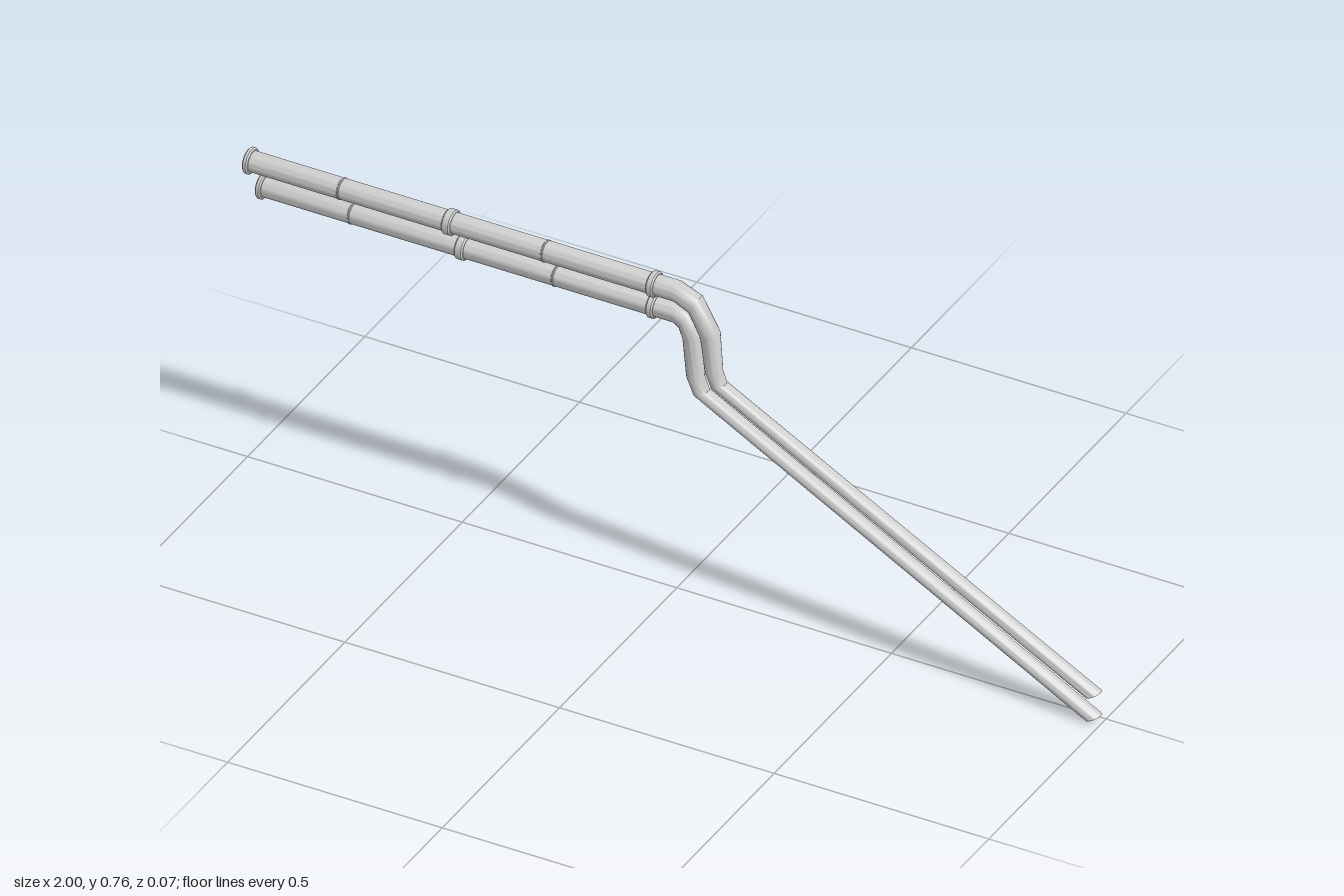
import * as THREE from 'three';
import { toCreasedNormals } from 'three/addons/utils/BufferGeometryUtils.js';

const SIDES = 24;
const material = new THREE.MeshStandardMaterial({ color: 0xcccccc, side: THREE.DoubleSide });

// Sweep of tilted rings [x, y, z, radius, tilt in degrees]; open at the start, capped at the end
function sweep(rings) {
  const pos = [], index = [];
  for (const [x, y, z, r, tilt] of rings) {
    const a = THREE.MathUtils.degToRad(tilt);
    for (let j = 0; j < SIDES; j++) {
      const t = (j / SIDES) * Math.PI * 2, u = r * Math.cos(t);
      pos.push(x + u * Math.cos(a), y + u * Math.sin(a), z + r * Math.sin(t));
    }
  }
  for (let i = 0; i < rings.length - 1; i++) {
    for (let j = 0; j < SIDES; j++) {
      const a = i * SIDES + j, b = i * SIDES + (j + 1) % SIDES;
      index.push(a, b, a + SIDES, b, b + SIDES, a + SIDES);
    }
  }
  const last = (rings.length - 1) * SIDES, centre = rings.length * SIDES;
  pos.push(...rings[rings.length - 1].slice(0, 3));
  for (let j = 0; j < SIDES; j++) index.push(centre, last + j, last + (j + 1) % SIDES);
  const g = new THREE.BufferGeometry();
  g.setAttribute('position', new THREE.Float32BufferAttribute(pos, 3));
  g.setIndex(index);
  return toCreasedNormals(g, 0.65);
}

// Bevelled collar around a pipe running along x
function collar(name, x, y, width, radius, inner = 0.0215) {
  const h = width / 2, b = Math.min(0.003, width / 4);
  const profile = [[inner, -h], [radius - b, -h], [radius, -h + b], [radius, h - b], [radius - b, h], [inner, h], [inner, -h]]
    .map(([r, l]) => new THREE.Vector2(r, l));
  const g = toCreasedNormals(new THREE.LatheGeometry(profile, SIDES), 0.5);
  g.rotateZ(-Math.PI / 2);
  const mesh = new THREE.Mesh(g, material);
  mesh.name = name;
  mesh.position.set(x, y, -0.002);
  return mesh;
}

function pipe(name, { start, y, elbow, joint, seams }) {
  const group = new THREE.Group();
  group.name = name;
  const body = new THREE.Mesh(sweep([
    [start + 0.002, y, -0.002, 0.023, 90],
    [0, y, -0.002, 0.023, 90],
    ...elbow,
  ]), material);
  body.name = name + 'Body';
  group.add(body);
  group.add(collar('endFlange', start + 0.006, y, 0.012, 0.029));
  group.add(collar('middleCoupling', joint, y, 0.02, 0.028));
  group.add(collar('elbowCoupling', -0.053, y, 0.016, 0.028));
  for (const x of seams) group.add(collar('seamRing', x, y, 0.005, 0.0242));
  return group;
}

export function createModel() {
  const model = new THREE.Group();
  model.name = 'twinPipes';
  model.add(pipe('upperPipe', {
    start: -1, y: 0.731, joint: -0.527, seams: [-0.78, -0.305],
    elbow: [
      [0.043, 0.712, -0.002, 0.023, 62],
      [0.077, 0.648, -0.002, 0.022, 20],
      [0.085, 0.56, -0.003, 0.019, 6],
      [0.097, 0.53, -0.003, 0.018, 26],
      [0.98, 0.065, 0.016, 0.0185, 26],
    ],
  }));
  model.add(pipe('lowerPipe', {
    start: -0.97, y: 0.679, joint: -0.497, seams: [-0.755, -0.28],
    elbow: [
      [0.02, 0.668, -0.002, 0.023, 62],
      [0.036, 0.632, -0.002, 0.022, 20],
      [0.042, 0.535, -0.003, 0.019, 6],
      [0.056, 0.5, -0.003, 0.018, 26],
      [0.98, 0.0085, 0.016, 0.0185, 26],
    ],
  }));
  return model;
}
